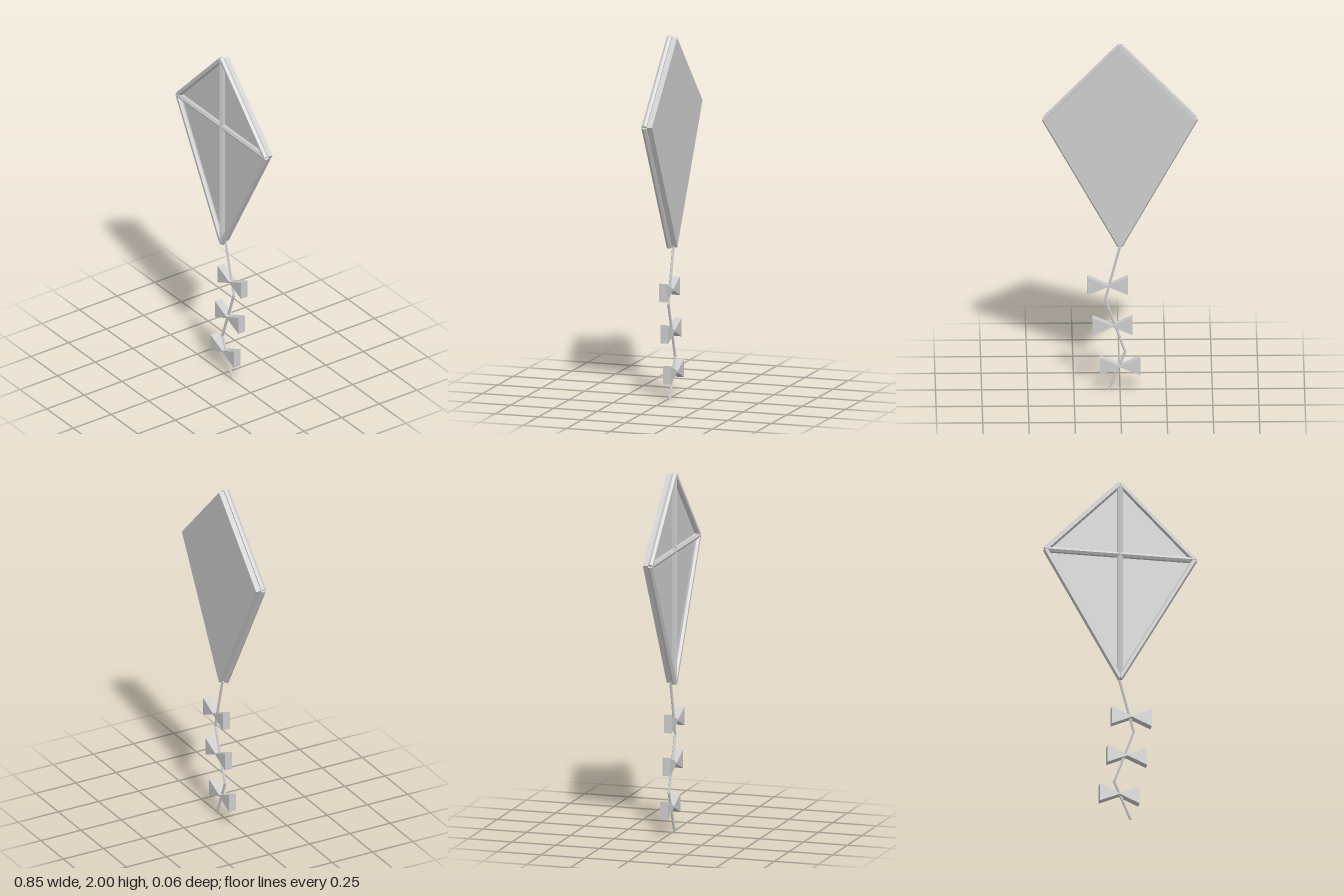
import * as THREE from 'three';

export function createModel() {
  const kite = new THREE.Group();
  kite.name = 'kite';
  const grey = new THREE.MeshStandardMaterial({ color: 0xcccccc, flatShading: true });
  grey.name = 'light grey';

  const add = (name, geometry, x, y, z) => {
    const mesh = new THREE.Mesh(geometry, grey);
    mesh.name = name;
    mesh.position.set(x, y, z);
    kite.add(mesh);
    return mesh;
  };

  // Flat outline extruded in z, centred on its thickness
  const plate = (points, depth) => {
    const shape = new THREE.Shape(points.map(([x, y]) => new THREE.Vector2(x, y)));
    return new THREE.ExtrudeGeometry(shape, { depth, bevelEnabled: false }).translate(0, 0, -depth / 2);
  };

  // Six-sided rod between two points; turn spins it about its own axis
  const rod = (name, [ax, ay], [bx, by], z, radius, turn = 0) => {
    const length = Math.hypot(bx - ax, by - ay);
    const geometry = new THREE.CylinderGeometry(radius, radius, length, 6).rotateY(turn);
    const mesh = add(name, geometry, (ax + bx) / 2, (ay + by) / 2, z);
    mesh.rotation.z = Math.atan2(ax - bx, by - ay);
  };

  // Sail
  const corners = [[0, 1.99], [-0.41, 1.567], [0, 0.83], [0.41, 1.567]];
  add('sail', plate(corners, 0.032), 0, 0, -0.016);

  // Frame: four edge rods, spine and cross spar
  corners.forEach((c, i) => rod('edgeRod', c, corners[(i + 1) % 4], 0.012, 0.016, Math.PI / 6));
  rod('spine', corners[2], corners[0], 0.012, 0.016);
  rod('crossSpar', corners[1], corners[3], 0.012, 0.016);

  // Zigzag tail with small joints filling the bends
  const tail = [[0, 0.835], [0.08, 0.527], [-0.028, 0.222], [0.062, 0.003]];
  for (let i = 0; i < 3; i++) {
    rod('tailString', tail[i], tail[i + 1], -0.01, 0.0075);
    if (i > 0) add('tailJoint', new THREE.IcosahedronGeometry(0.0075, 0), ...tail[i], -0.01);
  }

  // Bows: two wedges meeting at a pinched waist
  const w = 0.109, h = 0.051, p = 0.003;
  const bow = [[-w, -h], [0, -p], [w, -h], [w, h], [0, p], [-w, h]];
  for (const [x, y] of [[0.066, 0.61], [0.041, 0.377], [-0.001, 0.143]]) {
    add('tailBow', plate(bow, 0.044), x, y, -0.011);
  }
  return kite;
}
